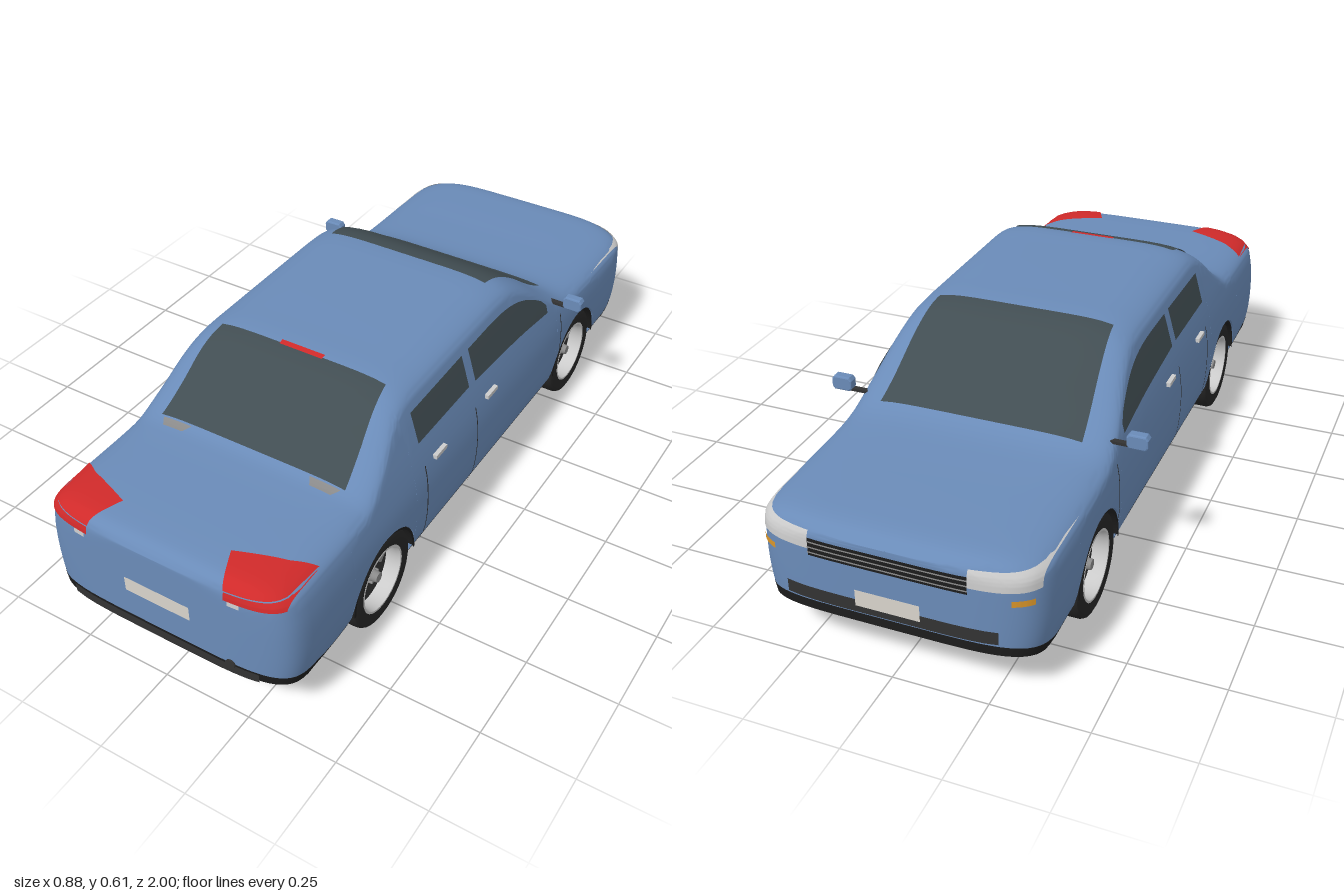
import * as THREE from 'three';
import { toCreasedNormals } from 'three/addons/utils/BufferGeometryUtils.js';

const mat = (color) => new THREE.MeshStandardMaterial({ color, side: THREE.DoubleSide });
const paint = mat(0x6a8bb8), black = mat(0x1c1c1c), glass = mat(0x414d52), red = mat(0xd02a2a);
const dark = mat(0x333333), rubber = mat(0x262626), grey = mat(0xcccccc), plate = mat(0xd8d4cc);
const midGrey = mat(0x8a8a8a), amber = mat(0xd9952a);

// Smooth curve through [position, value] points sorted by position
function curve(pts) {
  const slope = (i) => {
    const a = pts[Math.max(i - 1, 0)], b = pts[Math.min(i + 1, pts.length - 1)];
    return (b[1] - a[1]) / (b[0] - a[0]);
  };
  return (p) => {
    let i = 0;
    while (i < pts.length - 2 && p > pts[i + 1][0]) i++;
    const [a, b] = [pts[i], pts[i + 1]], d = b[0] - a[0];
    const t = THREE.MathUtils.clamp((p - a[0]) / d, 0, 1), t2 = t * t, t3 = t2 * t;
    return a[1] * (2 * t3 - 3 * t2 + 1) + b[1] * (3 * t2 - 2 * t3)
      + d * (slope(i) * (t3 - 2 * t2 + t) + slope(i + 1) * (t3 - t2));
  };
}
const lerp = THREE.MathUtils.lerp;

// Body shape: roof line, underside, paint edge and half-width by height
const roof = curve([[-0.995, 0.36], [-0.96, 0.38], [-0.9, 0.388], [-0.6, 0.398], [-0.5, 0.412], [-0.42, 0.455],
  [-0.3, 0.545], [-0.22, 0.588], [-0.15, 0.6], [-0.05, 0.602], [0.25, 0.602], [0.35, 0.6], [0.4, 0.588], [0.45, 0.56],
  [0.52, 0.5], [0.6, 0.445], [0.65, 0.435], [0.85, 0.432], [0.95, 0.428], [0.98, 0.418], [0.995, 0.4]]);
const under = curve([[-0.995, 0.14], [-0.74, 0.075], [-0.45, 0.07], [0.4, 0.07], [0.7, 0.075], [0.995, 0.14]]);
const paintEdge = curve([[-0.995, 0.165], [-0.74, 0.102], [-0.45, 0.1], [0.4, 0.1], [0.7, 0.102], [0.995, 0.165]]);
const halfWidth = curve([[0.07, 0.3], [0.1, 0.345], [0.14, 0.362], [0.2, 0.371], [0.27, 0.373], [0.33, 0.369],
  [0.4, 0.355], [0.45, 0.342], [0.57, 0.306], [0.6, 0.29]]);
const END = 0.995, SHOULDER = 0.05, ARCH = 0.15, ARCH_Y = 0.135;
const AXLES = [-0.585, 0.555];
const cornerStart = (z) => (z < 0 ? 0.75 : 0.82);

function plan(z) {
  const s = cornerStart(z), d = THREE.MathUtils.clamp((Math.abs(z) - s) / (END - s), 0, 1);
  return Math.pow(1 - d ** 5, 0.2);
}
function sideX(y, z) {
  const u = THREE.MathUtils.clamp((y - roof(z) + SHOULDER) / SHOULDER, 0, 1);
  return plan(z) * halfWidth(y) * Math.pow(1 - u * u, 1 / 6);
}
function bisect(lo, hi, x, f) {
  for (let i = 0; i < 30; i++) {
    const m = (lo + hi) / 2;
    if (f(m) > x) lo = m; else hi = m;
  }
  return lo;
}
const topY = (x, z) => bisect(roof(z) - SHOULDER, roof(z), Math.abs(x), (y) => sideX(y, z));
const endZ = (x, y, s) => s * bisect(0.7, END, Math.abs(x), (z) => sideX(y, s * z));

// Surface over a grid of points
function surface(rows) {
  const n = rows[0].length, index = [];
  for (let i = 0; i < rows.length - 1; i++)
    for (let j = 0; j < n - 1; j++) {
      const a = i * n + j, b = a + n;
      index.push(a, a + 1, b, b, a + 1, b + 1);
    }
  const g = new THREE.BufferGeometry();
  g.setAttribute('position', new THREE.Float32BufferAttribute(rows.flat(2), 3));
  g.setIndex(index);
  return toCreasedNormals(g, 0.7);
}
const mirrorRow = (half) => half.concat(half.map(([x, y, z]) => [-x, y, z]).reverse());

export function createModel() {
  const car = new THREE.Group();
  const add = (name, geo, material, parent = car) => {
    const m = new THREE.Mesh(geo, material);
    m.name = name;
    parent.add(m);
    return m;
  };
  const box = (name, w, h, d, x, y, z, material) =>
    add(name, new THREE.BoxGeometry(w, h, d), material).position.set(x, y, z);
  const patch = (name, material, f, nu = 16, nv = 10) => {
    const rows = [];
    for (let i = 0; i <= nu; i++) {
      rows.push([]);
      for (let j = 0; j <= nv; j++) rows[i].push(f(i / nu, j / nv));
    }
    return add(name, surface(rows), material);
  };

  // Stations along the car: rounded ends, even steps, and both wheel arches
  const stations = [];
  for (let i = 0; i <= 16; i++) {
    const d = Math.pow(Math.sin(i / 16 * Math.PI / 2), 0.4);
    for (const s of [-1, 1]) {
      const z = s * (cornerStart(s) + d * (END - cornerStart(s)));
      stations.push([z, paintEdge(z)]);
    }
  }
  for (let z = -0.74; z < 0.82; z += 0.02)
    if (AXLES.every((c) => Math.abs(z - c) > ARCH + 0.002)) stations.push([z, paintEdge(z)]);
  for (const c of AXLES) {
    for (const s of [-1, 1]) stations.push([c + s * (ARCH + 1e-5), paintEdge(c + s * ARCH)]);
    for (let i = 0; i <= 24; i++) {
      const a = i / 24 * Math.PI;
      stations.push([c - ARCH * Math.cos(a), ARCH_Y + ARCH * Math.sin(a)]);
    }
  }
  stations.sort((a, b) => a[0] - b[0]);
  add('body', surface(stations.map(([z, b]) => {
    const half = [[0, b, z]], shoulder = roof(z) - SHOULDER;
    for (let i = 0; i <= 10; i++) {
      const y = lerp(b, shoulder, i / 10);
      half.push([sideX(y, z), y, z]);
    }
    for (let i = 1; i <= 14; i++) {
      const y = shoulder + SHOULDER * Math.sin(i / 14 * Math.PI / 2);
      half.push([i === 14 ? 0 : sideX(y, z), y, z]);
    }
    return mirrorRow(half);
  })), paint);

  // Black lower trim and floor, in three pieces between the arches
  const skirt = (name, z0, z1) => {
    const zs = stations.map((s) => s[0]).filter((z) => z >= z0 - 2e-5 && z <= z1 + 2e-5);
    const row = (z, flat) => {
      const half = [[0, flat ? paintEdge(z) : under(z), z]];
      for (let i = 0; i <= 5; i++) {
        const y = lerp(under(z), paintEdge(z), i / 5);
        half.push([sideX(y, z) + 0.001, flat ? paintEdge(z) : y, z]);
      }
      return mirrorRow(half);
    };
    add(name, surface([row(zs[0], true), ...zs.map((z) => row(z)), row(zs.at(-1), true)]), black);
  };
  skirt('frontBumperSkirt', -END, AXLES[0] - ARCH);
  skirt('floorAndSills', AXLES[0] + ARCH, AXLES[1] - ARCH);
  skirt('rearBumperSkirt', AXLES[1] + ARCH, END);

  // Windscreen, rear window and high brake light, lying on the roof line
  const topPatch = (name, material, z0, w0, z1, w1, cx = 0, lift = 0.004) => patch(name, material, (u, v) => {
    const z = lerp(z0, z1, u), x = cx + lerp(w0, w1, u) * (2 * v - 1);
    return [x, topY(x, z) + lift, z];
  }, 24, 16);
  topPatch('windscreen', glass, -0.48, 0.28, -0.17, 0.25);
  topPatch('rearWindow', glass, 0.36, 0.25, 0.6, 0.28);
  topPatch('highBrakeLight', red, 0.35, 0.065, 0.366, 0.065, 0, 0.006);

  // Panels wrapped on the nose and tail
  const endPatch = (name, material, s, x0, x1, y0, y1, lift = 0.003) => patch(name, material, (u, v) => {
    const x = lerp(x0, x1, u), y = lerp(y0, y1, v);
    return [x + Math.sign(x) * lift * 0.5, y, endZ(x, y, s) + s * lift];
  });
  endPatch('rearPlate', plate, 1, -0.095, 0.095, 0.252, 0.296);
  endPatch('rearTrim', dark, 1, -0.28, 0.28, 0.135, 0.162);
  endPatch('frontPlate', plate, -1, -0.08, 0.08, 0.19, 0.235, 0.006);
  endPatch('lowerIntake', dark, -1, -0.27, 0.27, 0.17, 0.205);
  endPatch('grille', black, -1, -0.2, 0.2, 0.298, 0.345);
  for (let i = 0; i < 3; i++) endPatch('grilleBar', midGrey, -1, -0.2, 0.2, 0.306 + i * 0.014, 0.31 + i * 0.014, 0.005);
  const exhaust = add('exhaust', new THREE.CylinderGeometry(0.014, 0.014, 0.03, 20), dark);
  exhaust.rotation.x = Math.PI / 2;
  exhaust.position.set(0.205, 0.162, 0.982);

  for (const s of [-1, 1]) {
    // Lamps
    endPatch('headlight', grey, -1, s * 0.2, s * 0.355, 0.316, 0.362);
    endPatch('indicator', amber, -1, s * 0.3, s * 0.345, 0.279, 0.295);
    endPatch('tailLight', red, 1, s * 0.2, s * 0.345, 0.38, 0.402);
    patch('tailLightTop', red, (u, v) => {
      const z0 = lerp(0.9, 0.85, u), xa = lerp(0.16, 0.29, u), xb = lerp(0.2, 0.345, u);
      const z1 = endZ(xb, 0.402, 1), x = lerp(xa, xb, v), z = lerp(z0, z1, v);
      return [s * x, topY(x, z) + 0.004, z + 0.003 * v];
    });
    endPatch('reversingLight', grey, 1, s * 0.21, s * 0.242, 0.367, 0.38);
    topPatch('windowVent', midGrey, 0.605, 0.045, 0.628, 0.03, s * 0.225);

    // Side windows, seams and handles
    const sidePatch = (name, material, z0, z1, low, high, lift = 0.003) => patch(name, material, (u, v) => {
      const z = lerp(z0, z1, u), y = lerp(low(z), high(z), v);
      return [s * (sideX(y, z) + lift), y, z];
    }, 20, 8);
    sidePatch('rearSideWindow', glass, 0.36, 0.09, () => 0.443, curve([[0.09, 0.536], [0.36, 0.532]]));
    sidePatch('frontSideWindow', glass, 0.055, -0.38, curve([[-0.38, 0.405], [-0.2, 0.425], [0.055, 0.441]]),
      curve([[-0.38, 0.43], [-0.35, 0.46], [-0.25, 0.512], [-0.14, 0.534], [0.055, 0.536]]));
    for (const [z, y] of [[0.35, 0.37], [0.075, 0.37], [-0.46, 0.36]])
      sidePatch('doorSeam', dark, z, z + 0.004, () => 0.105, () => y, 0.002);
    for (const z of [0.28, -0.008]) box('doorHandle', 0.012, 0.012, 0.055, s * 0.367, 0.368, z, grey);

    // Door mirrors
    box('mirrorArm', 0.06, 0.008, 0.015, s * 0.37, 0.41, -0.435, dark);
    const shape = new THREE.Shape().absellipse(0, 0, 0.027, 0.018, 0, Math.PI * 2);
    const shell = add('mirrorShell', new THREE.ExtrudeGeometry(new THREE.Shape([[-1, -0.6], [-0.8, -1], [0.8, -1],
      [1, -0.6], [1, 0.6], [0.8, 1], [-0.8, 1], [-1, 0.6]].map(([x, y]) => new THREE.Vector2(x * 0.025, y * 0.016))),
    { depth: 0.018, bevelThickness: 0.005, bevelSize: 0.004, bevelSegments: 2 }), paint);
    shell.position.set(s * 0.412, 0.426, -0.445);
    box('mirrorGlass', 0.046, 0.03, 0.003, s * 0.412, 0.426, -0.427, grey);

    // Wheels with arch liners
    for (const z of AXLES) {
      const wheel = new THREE.Group();
      wheel.name = 'wheel';
      const lathe = (pts) => new THREE.LatheGeometry(pts.map(([r, a]) => new THREE.Vector2(r, a)), 40);
      add('tyre', toCreasedNormals(lathe([[0.09, -0.04], [0.122, -0.043], [0.133, -0.038], [0.137, -0.028],
        [0.137, 0.028], [0.133, 0.038], [0.122, 0.043], [0.094, 0.04]]), 0.6), rubber, wheel);
      add('rim', toCreasedNormals(lathe([[0.095, 0.041], [0.089, 0.041], [0.086, 0.03], [0.084, -0.035],
        [0.09, -0.04]]), 0.5), grey, wheel);
      add('brakeDisc', new THREE.CylinderGeometry(0.085, 0.085, 0.008, 32), dark, wheel).position.y = -0.005;
      add('hub', new THREE.CylinderGeometry(0.014, 0.018, 0.035, 20), midGrey, wheel).position.y = 0.012;
      for (let i = 0; i < 5; i++) {
        const a = i / 5 * Math.PI * 2;
        add('wheelNut', new THREE.CylinderGeometry(0.004, 0.004, 0.012, 8), midGrey, wheel)
          .position.set(0.03 * Math.cos(a), 0.004, 0.03 * Math.sin(a));
      }
      const caliper = add('brakeCaliper', new THREE.BoxGeometry(0.025, 0.02, 0.045), midGrey, wheel);
      caliper.position.set(s * -0.045, 0.006, -0.04);
      caliper.rotation.y = s * 0.8;
      wheel.rotation.z = -s * Math.PI / 2;
      wheel.position.set(s * 0.32, 0.137, z);
      car.add(wheel);
      patch('archLiner', black, (u, v) => {
        const a = u * Math.PI, r = ARCH - 0.002 - (v === 0 ? 0.008 : 0);
        return [s * lerp(0.368, 0.26, Math.max(0, v - 0.25) / 0.75), ARCH_Y + r * Math.sin(a), z + r * Math.cos(a)];
      }, 24, 4);
    }
  }
  for (const z of AXLES) {
    const axle = add('axle', new THREE.CylinderGeometry(0.012, 0.012, 0.6, 12), dark);
    axle.rotation.z = Math.PI / 2;
    axle.position.set(0, 0.137, z);
  }
  return car;
}
